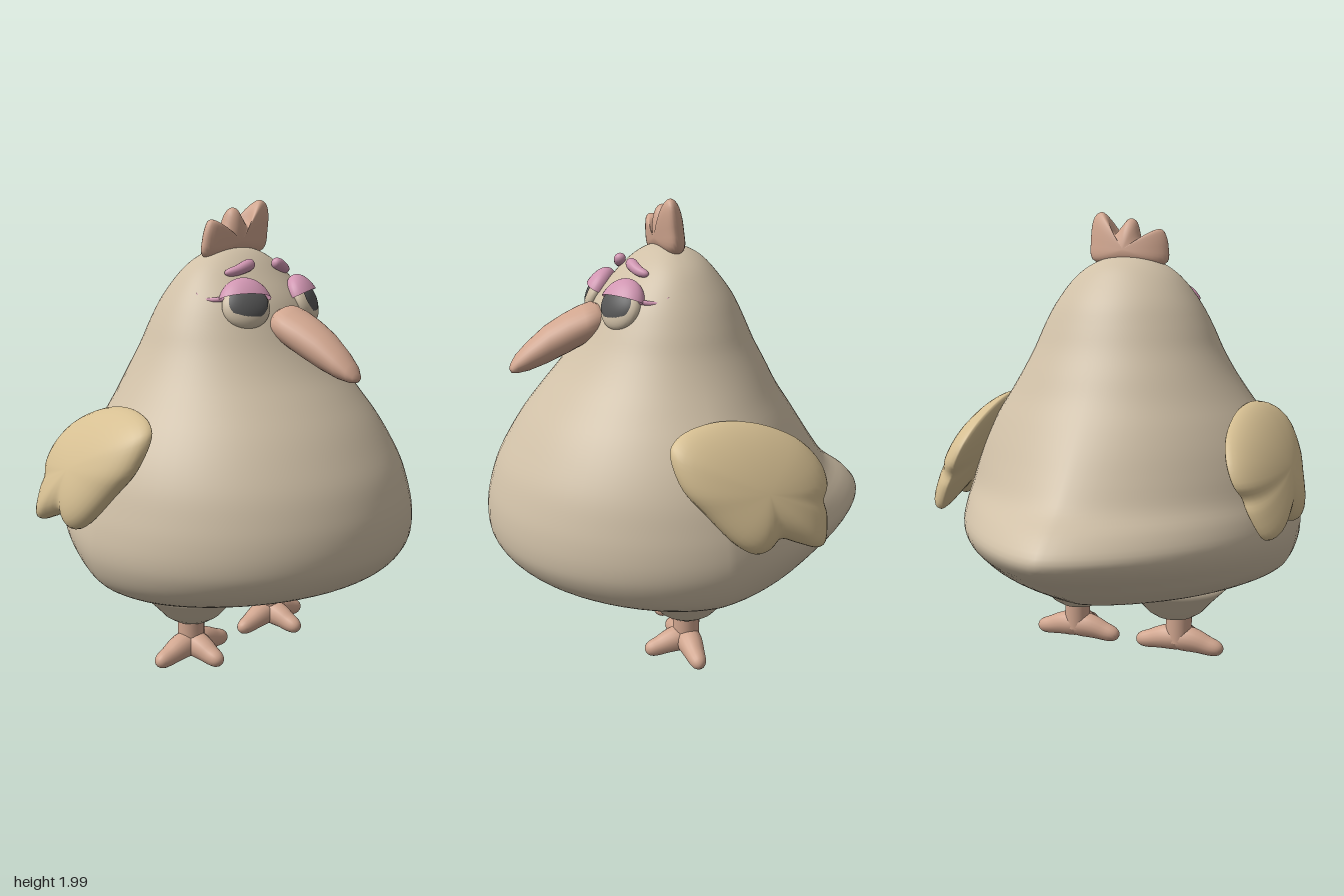
import * as THREE from 'three';
import { mergeVertices } from 'three/addons/utils/BufferGeometryUtils.js';

const paint = (name, color, extra = {}) => {
  const m = new THREE.MeshStandardMaterial({ color, ...extra });
  m.name = name;
  return m;
};
const V = (x, y, z) => new THREE.Vector3(x, y, z);
const spline = (pts, closed = false) => new THREE.CatmullRomCurve3(pts, closed, 'catmullrom', 0.5);

// Skin through closed rings of equal length, turning counterclockwise about the travel direction
function loft(rings) {
  const n = rings[0].length, index = [];
  for (let i = 0; i < rings.length - 1; i++) {
    for (let j = 0; j < n; j++) {
      const k = (j + 1) % n;
      const a = i * n + j, b = i * n + k, c = b + n, d = a + n;
      index.push(a, b, c, a, c, d);
    }
  }
  let geo = new THREE.BufferGeometry().setFromPoints(rings.flat());
  geo.setIndex(index);
  geo = mergeVertices(geo, 1e-4);
  geo.computeVertexNormals();
  return geo;
}

// Cushion with a clockwise outline; map(u, v, d) places it, d runs from -1 to 1 through the thickness
function pillow(outline, cu, cv, map) {
  const pts = spline(outline.map(([u, v]) => V(u, v, 0)), true).getPoints(72).slice(0, 72).reverse();
  const rings = [];
  for (let i = 0; i <= 20; i++) {
    const a = (i / 20 - 0.5) * Math.PI, s = Math.cos(a);
    rings.push(pts.map(p => map(cu + (p.x - cu) * s, cv + (p.y - cv) * s, Math.sin(a))));
  }
  return loft(rings);
}

// Rounded limb along a path with varying radius
function limb(path, radii, n = 20, sides = 16) {
  const curve = spline(path.map(p => V(...p)));
  const radius = spline(radii.map(r => V(r, 0, 0)));
  const frames = curve.computeFrenetFrames(n);
  const rings = [];
  for (let i = 0; i <= n; i++) {
    const s = 0.5 - 0.5 * Math.cos(Math.PI * i / n);
    const r = radius.getPoint(s).x * Math.sqrt(Math.max(0, 1 - Math.abs(2 * s - 1) ** 6));
    const p = curve.getPoint(s);
    const f = Math.round(s * n);
    rings.push(Array.from({ length: sides }, (_, j) => {
      const t = j / sides * Math.PI * 2;
      return p.clone()
        .addScaledVector(frames.normals[f], r * Math.cos(t))
        .addScaledVector(frames.binormals[f], r * Math.sin(t));
    }));
  }
  return loft(rings);
}

function mirrored(geo) {
  const g = geo.clone().scale(-1, 1, 1);
  const ix = g.index.array;
  for (let i = 0; i < ix.length; i += 3) [ix[i], ix[i + 1]] = [ix[i + 1], ix[i]];
  return g;
}

// Body: height, half width, front z, back z
function bodyGeometry() {
  const rows = [
    [0.30, 0, 0.08, 0.08], [0.30, 0.12, 0.2, -0.1], [0.315, 0.3, 0.29, -0.24], [0.35, 0.5, 0.42, -0.43],
    [0.40, 0.63, 0.58, -0.55], [0.45, 0.71, 0.73, -0.65], [0.5, 0.75, 0.81, -0.73], [0.57, 0.776, 0.86, -0.835],
    [0.64, 0.783, 0.875, -0.875], [0.72, 0.774, 0.872, -0.81], [0.8, 0.755, 0.855, -0.70], [0.9, 0.725, 0.82, -0.62],
    [1.0, 0.68, 0.765, -0.55], [1.1, 0.62, 0.70, -0.48], [1.2, 0.55, 0.62, -0.41], [1.3, 0.485, 0.535, -0.355],
    [1.4, 0.43, 0.465, -0.30], [1.5, 0.385, 0.41, -0.255], [1.6, 0.33, 0.355, -0.205], [1.7, 0.255, 0.265, -0.13],
    [1.76, 0.18, 0.2, -0.07], [1.795, 0.1, 0.14, 0], [1.808, 0, 0.08, 0.08],
  ];
  const width = spline(rows.map(r => V(r[1], r[0], 0)));
  const depth = spline(rows.map(r => V(r[2], r[0], r[3])));
  const rings = [], n = 88, c = 0.08;
  for (let i = 0; i <= n; i++) {
    const { x: w, y } = width.getPoint(i / n), { x: front, z: back } = depth.getPoint(i / n);
    const p = 1.33 - 0.33 * THREE.MathUtils.smoothstep(y, 0.7, 1.4); // pointed towards the tail
    rings.push(Array.from({ length: 72 }, (_, j) => {
      const t = j / 72 * Math.PI * 2, s = Math.sin(t), k = Math.cos(t);
      if (k >= 0) return V(w * s, y, c + (front - c) * k);
      return V(w * Math.sign(s) * Math.abs(s) ** p, y, c - (c - back) * (-k) ** p);
    }));
  }
  return loft(rings);
}

// Beak: z, top, bottom, half width
function beakGeometry() {
  const rows = [
    [0.34, 1.5, 1.5, 0], [0.35, 1.555, 1.44, 0.085], [0.40, 1.575, 1.425, 0.113], [0.45, 1.56, 1.4, 0.112],
    [0.52, 1.53, 1.365, 0.1], [0.6, 1.485, 1.33, 0.085], [0.68, 1.42, 1.303, 0.066],
    [0.73, 1.37, 1.295, 0.047], [0.752, 1.335, 1.297, 0.028], [0.76, 1.315, 1.315, 0],
  ];
  return loft(rows.map(([z, top, bottom, w]) => Array.from({ length: 28 }, (_, j) => {
    const t = j / 28 * Math.PI * 2;
    return V(-w * Math.sin(t), (top + bottom) / 2 + (top - bottom) / 2 * Math.cos(t), z);
  })));
}

export function createModel() {
  const model = new THREE.Group();
  model.name = 'chicken';
  const feather = paint('feather beige', 0xd0c0a7);
  const wingTan = paint('wing tan', 0xd6bf92);
  const skin = paint('beak and foot salmon', 0xd1a68f);
  const pink = paint('eyelid pink', 0xd196b2, { side: THREE.DoubleSide });
  const dark = paint('pupil grey', 0x565656);

  const add = (name, geo, mat) => {
    const mesh = new THREE.Mesh(geo, mat);
    mesh.name = name;
    model.add(mesh);
  };
  const pair = (name, geo, mat) => {
    add('left' + name, geo, mat);
    add('right' + name, mirrored(geo), mat);
  };

  add('body', bodyGeometry(), feather);
  add('beak', beakGeometry(), skin);

  // Comb with three lobes
  const combOutline = [
    [-0.17, 1.765], [-0.185, 1.84], [-0.16, 1.912], [-0.115, 1.91], [-0.07, 1.867], [-0.04, 1.95], [-0.005, 1.966],
    [0.03, 1.93], [0.065, 1.9], [0.095, 1.965], [0.135, 2.0], [0.175, 1.97], [0.185, 1.88], [0.165, 1.785], [0, 1.76],
  ];
  add('comb', pillow(combOutline, 0, 1.83, (u, v, d) =>
    V(u, v, 0.065 + 0.06 * d + 0.12 * (v - 1.83) + 0.6 * u * u)), skin);

  // Wings: outline drawn as (-z, y), leaning along the flanks
  const wingOutline = [
    [-0.276, 1.085], [-0.245, 1.14], [-0.16, 1.172], [-0.03, 1.18], [0.13, 1.15], [0.285, 1.08], [0.375, 0.99],
    [0.4, 0.9], [0.37, 0.84], [0.375, 0.78], [0.35, 0.69], [0.3, 0.675], [0.22, 0.705], [0.14, 0.735],
    [0.085, 0.705], [0.02, 0.7], [-0.06, 0.75], [-0.165, 0.87], [-0.245, 0.97],
  ];
  pair('Wing', pillow(wingOutline, 0.08, 0.94, (u, v, d) =>
    V(0.57 + (1.18 - v) * 0.45 - 0.15 * u + d * (d > 0 ? 0.125 : 0.05), v, -u)), wingTan);

  // Thighs, legs and toes
  const thigh = [[0, 0.18], [0.06, 0.18], [0.09, 0.187], [0.125, 0.21], [0.17, 0.26], [0.225, 0.315], [0.29, 0.38], [0, 0.42]]
    .map(([r, y]) => new THREE.Vector2(r, y));
  pair('Thigh', new THREE.LatheGeometry(thigh, 40).translate(0.24, 0, 0.06), feather);
  pair('Leg', new THREE.CylinderGeometry(0.06, 0.058, 0.18, 24).translate(0.255, 0.15, 0.068), skin);
  const toeTips = { OuterToe: [0.465, 0.075], InnerToe: [0.045, 0.075], FrontToe: [0.255, 0.262] };
  for (const [name, [x, z]] of Object.entries(toeTips)) {
    const at = (s, y) => [0.255 + (x - 0.255) * s, y, 0.068 + (z - 0.068) * s];
    pair(name, limb([at(-0.2, 0.075), at(0.3, 0.07), at(0.65, 0.05), at(1, 0.036)], [0.064, 0.056, 0.043, 0.034]), skin);
  }

  // Eyes: flattened balls tilted to lie on the head
  const place = geo => geo.rotateX(-0.45).rotateY(0.5).translate(0.18, 1.575, 0.325);
  const ball = (x, y, z, ...arc) => new THREE.SphereGeometry(1, 32, 20, ...arc).scale(x, y, z);
  pair('Eyeball', place(ball(0.1, 0.093, 0.045)), feather);
  const pupil = new THREE.SphereGeometry(1, 32, 12, 0, Math.PI * 2, 0, 0.92).rotateX(Math.PI / 2);
  pair('Pupil', place(pupil.scale(0.103, 0.09, 0.05).translate(-0.003, 0.008, 0)), dark);
  const lid = ball(0.114, 0.125, 0.066, 0, Math.PI * 2, 0, 1.3);
  pair('Eyelid', place(lid), pink);

  // Lashes and brows
  pair('Lash', limb([[0.245, 1.61, 0.28], [0.275, 1.603, 0.22], [0.29, 1.608, 0.18], [0.295, 1.63, 0.155]],
    [0.012, 0.009, 0.006, 0.004], 14, 8), pink);
  pair('Brow', limb([[0.062, 1.745, 0.25], [0.1, 1.732, 0.247], [0.145, 1.715, 0.235], [0.188, 1.705, 0.21]],
    [0.024, 0.025, 0.021, 0.016]), pink);

  return model;
}
